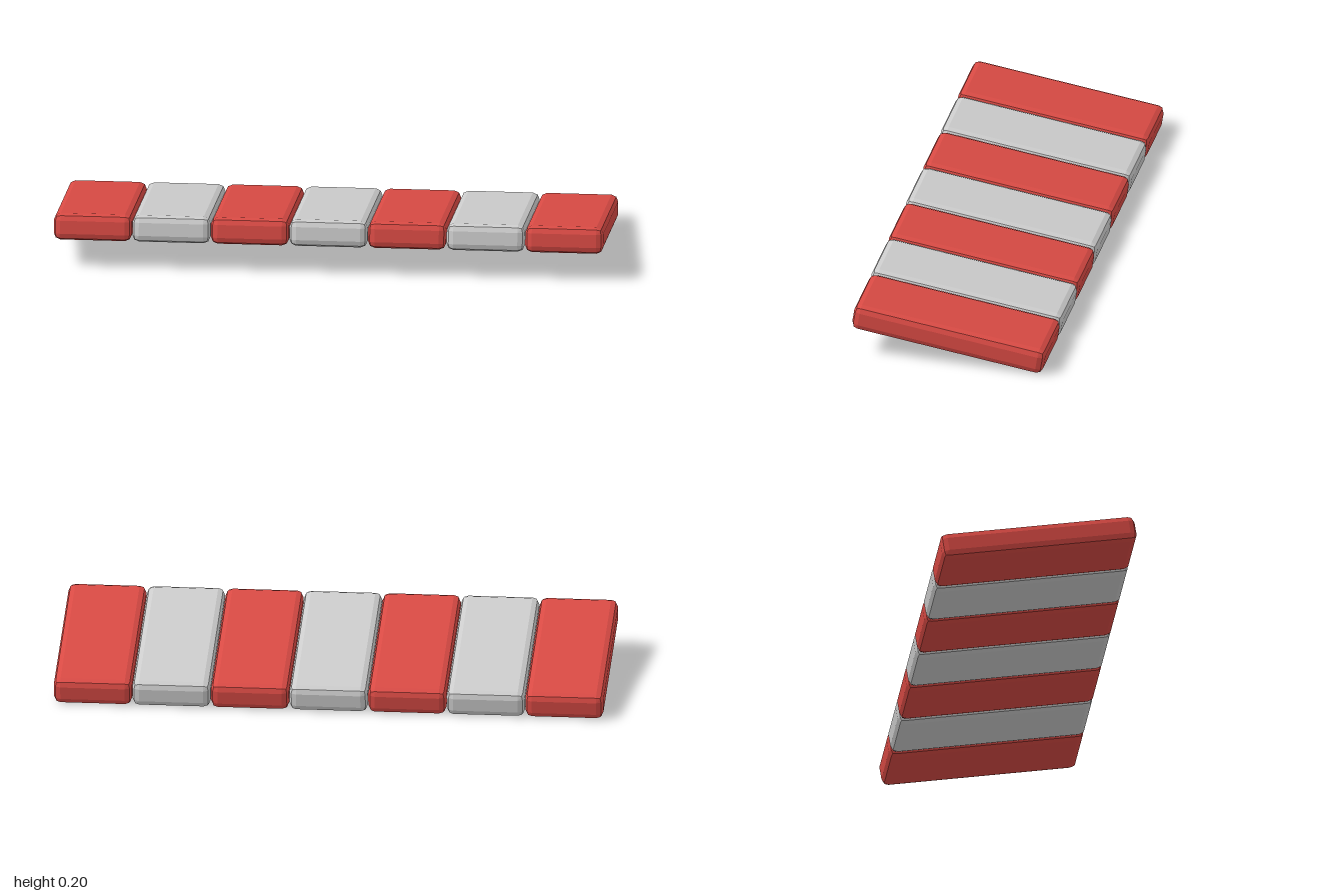
import * as THREE from 'three';
import { RoundedBoxGeometry } from 'three/addons/geometries/RoundedBoxGeometry.js';

export function createModel() {
  const model = new THREE.Group();
  model.name = 'stripedAwning';

  const red = new THREE.MeshStandardMaterial({ color: 0xd84a44, flatShading: true });
  const grey = new THREE.MeshStandardMaterial({ color: 0xcccccc, flatShading: true });

  // Sloping row of bevelled slabs, raised at the front
  const slope = new THREE.Group();
  slope.name = 'slabRow';
  slope.rotation.x = -THREE.MathUtils.degToRad(8.9);
  slope.position.y = 0.101;
  model.add(slope);

  // Alternating red and grey slabs with narrow gaps
  const count = 7, pitch = 0.286, width = 0.284;
  const slab = new RoundedBoxGeometry(width, 0.098, 0.719, 1, 0.025);
  for (let i = 0; i < count; i++) {
    const isRed = i % 2 === 0;
    const mesh = new THREE.Mesh(slab, isRed ? red : grey);
    mesh.name = isRed ? 'redSlab' : 'greySlab';
    mesh.position.x = (i - (count - 1) / 2) * pitch;
    slope.add(mesh);
  }
  return model;
}
